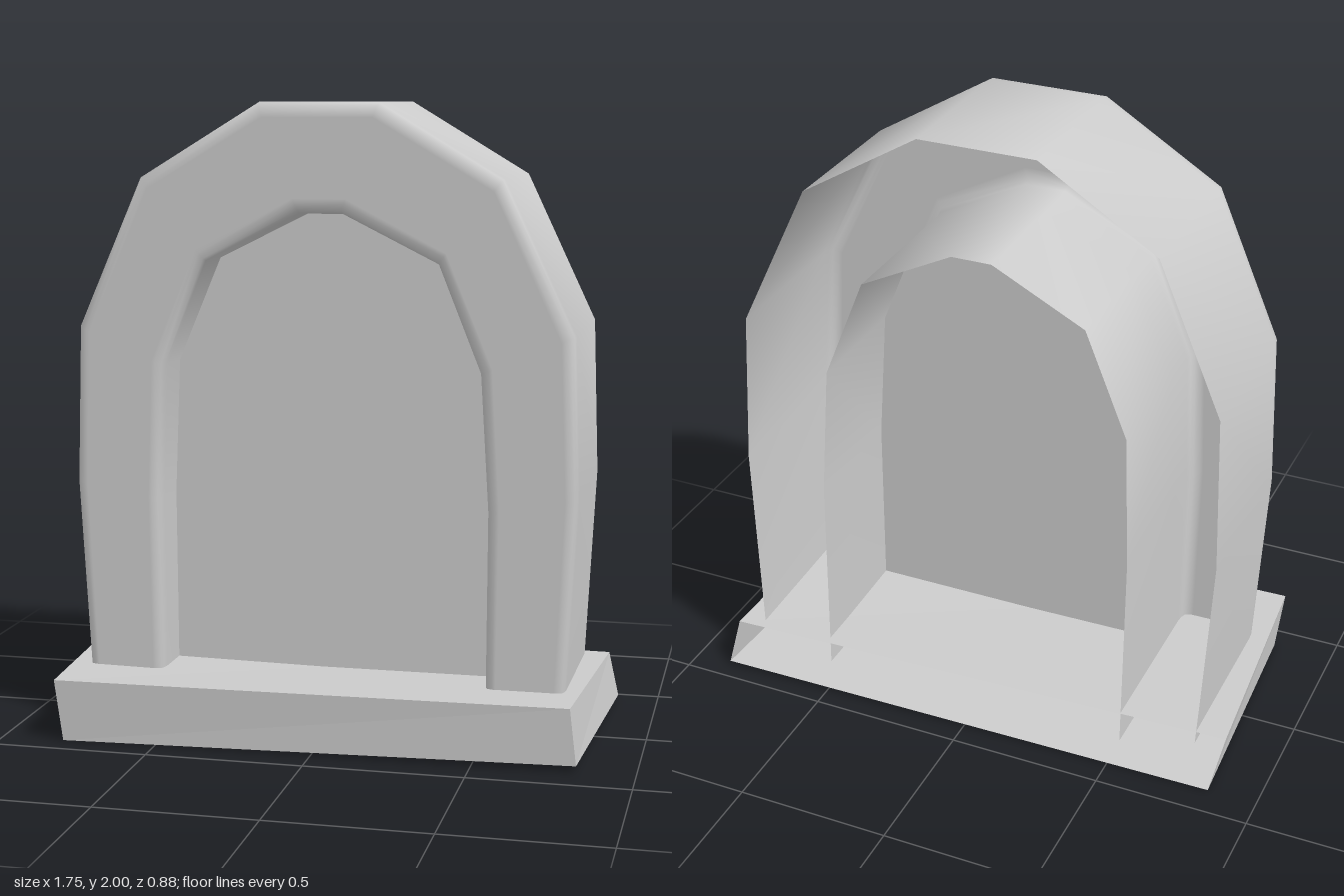
import * as THREE from 'three';

const material = new THREE.MeshStandardMaterial({ color: 0xcccccc, side: THREE.DoubleSide });

// Arch outlines, running from the foot at -x over the top to the foot at +x
const OUTER = [[-0.78, 0.15], [-0.81, 0.8], [-0.79, 1.3], [-0.58, 1.77], [-0.2, 2],
  [0.18, 2], [0.56, 1.77], [0.78, 1.3], [0.795, 0.8], [0.76, 0.15]];
const INNER = [[-0.53, 0.08], [-0.53, 0.75], [-0.51, 1.18], [-0.37, 1.51], [-0.07, 1.66],
  [0.06, 1.66], [0.36, 1.51], [0.49, 1.18], [0.515, 0.75], [0.51, 0.08]];

// Depth of the leaning planes at height y
const frontZ = (y) => 0.205 + 0.028 * y;
const outerBackZ = (y) => -0.378 + 0.039 * y;
const innerBackZ = (y) => -0.38 + 0.03 * y;
const panelZ = (y) => 0.035 + 0.02 * y;

// Each ring: blend from outer to inner outline, and its depth rule
const RINGS = [
  [0, outerBackZ],
  [0, (y) => frontZ(y) - 0.05],
  [0.01, (y) => frontZ(y) - 0.025],
  [0.035, (y) => frontZ(y) - 0.008],
  [0.1, frontZ],
  [0.14, frontZ],
  [0.86, frontZ],
  [0.9, frontZ],
  [0.965, (y) => frontZ(y) - 0.008],
  [0.99, (y) => frontZ(y) - 0.025],
  [1, (y) => frontZ(y) - 0.05],
  [1, panelZ],
  [1, innerBackZ],
];

// Hollow arch: outer wall, rounded front frame and inner wall, open at the back
function archGeometry() {
  const positions = [];
  const indices = [];
  const n = OUTER.length;
  RINGS.forEach(([t, depth], j) => {
    for (let i = 0; i < n; i++) {
      const x = THREE.MathUtils.lerp(OUTER[i][0], INNER[i][0], t);
      const y = THREE.MathUtils.lerp(OUTER[i][1], INNER[i][1], t);
      positions.push(x, y, depth(y));
      if (j < RINGS.length - 1 && i < n - 1) {
        const a = j * n + i;
        const b = a + n;
        indices.push(a, b, a + 1, a + 1, b, b + 1);
      }
    }
  });
  const geometry = new THREE.BufferGeometry();
  geometry.setAttribute('position', new THREE.Float32BufferAttribute(positions, 3));
  geometry.setIndex(indices);
  geometry.computeVertexNormals();
  return geometry;
}

// Flat panel set back inside the opening
function panelGeometry() {
  const shape = new THREE.Shape(INNER.map(([x, y]) => new THREE.Vector2(x, y)));
  const geometry = new THREE.ShapeGeometry(shape);
  const p = geometry.attributes.position;
  for (let i = 0; i < p.count; i++) p.setZ(i, panelZ(p.getY(i)));
  geometry.computeVertexNormals();
  return geometry;
}

// Uneven slab, open at the back
function baseGeometry() {
  const corners = {
    flt: [-0.82, 0.2, 0.435], frt: [0.8, 0.2, 0.39], brt: [0.84, 0.17, -0.41], blt: [-0.88, 0.195, -0.37],
    flb: [-0.8, 0, 0.415], frb: [0.82, 0.02, 0.38], brb: [0.87, 0.015, -0.44], blb: [-0.84, 0, -0.4],
  };
  const faces = [
    ['flb', 'frb', 'frt', 'flt'], // front
    ['frb', 'brb', 'brt', 'frt'], // +x end
    ['blb', 'flb', 'flt', 'blt'], // -x end
    ['flt', 'frt', 'brt', 'blt'], // top
    ['blb', 'brb', 'frb', 'flb'], // bottom
  ];
  const positions = faces.flatMap(([a, b, c, d]) => [a, b, c, a, c, d].flatMap((k) => corners[k]));
  const geometry = new THREE.BufferGeometry();
  geometry.setAttribute('position', new THREE.Float32BufferAttribute(positions, 3));
  geometry.computeVertexNormals();
  return geometry;
}

export function createModel() {
  const model = new THREE.Group();
  model.name = 'archedStone';
  const parts = { arch: archGeometry(), recessedPanel: panelGeometry(), base: baseGeometry() };
  for (const [name, geometry] of Object.entries(parts)) {
    const mesh = new THREE.Mesh(geometry, material);
    mesh.name = name;
    model.add(mesh);
  }
  return model;
}
